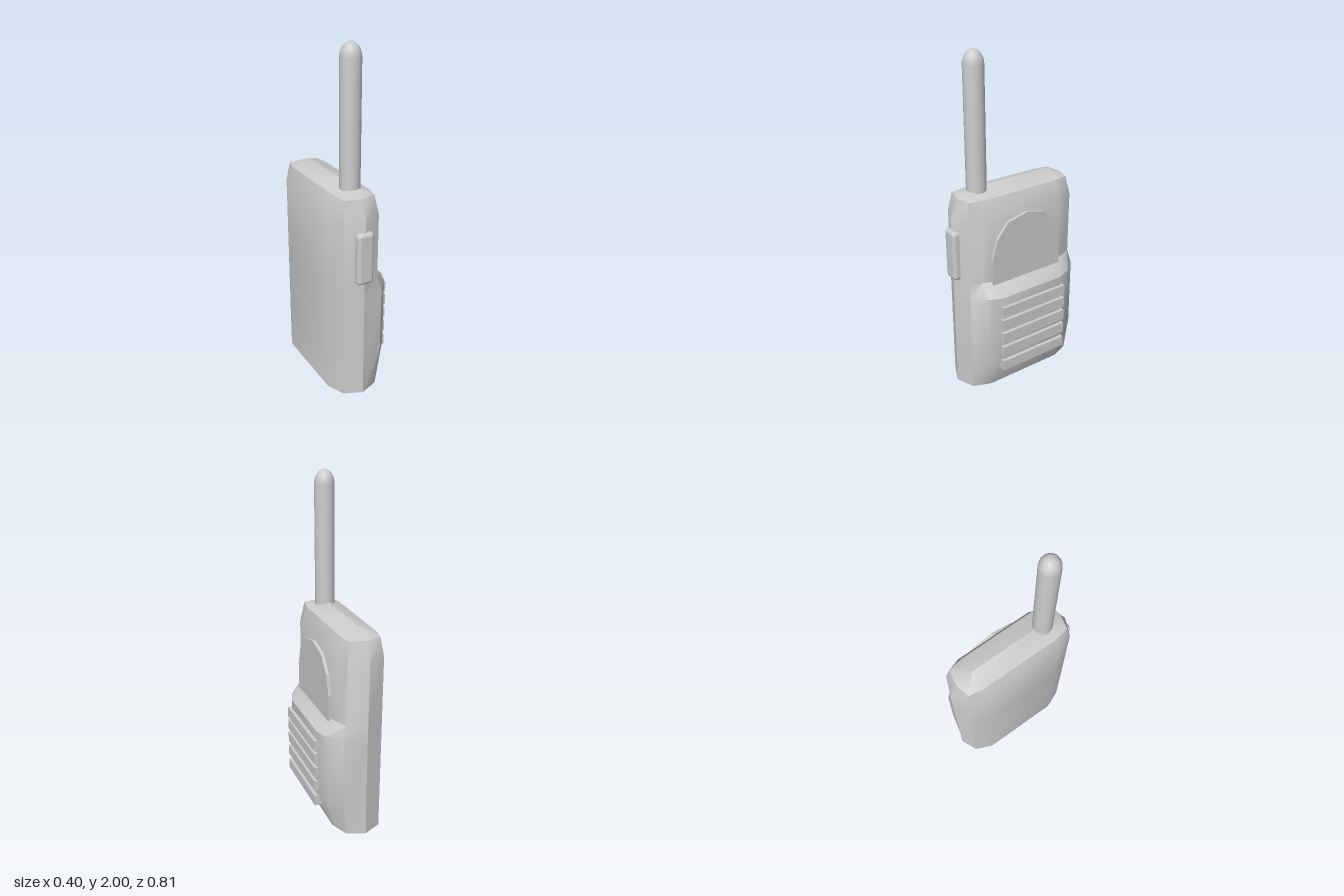
import * as THREE from 'three';
import { toCreasedNormals } from 'three/addons/utils/BufferGeometryUtils.js';
import { RoundedBoxGeometry } from 'three/addons/geometries/RoundedBoxGeometry.js';

const material = new THREE.MeshStandardMaterial({ color: 0xcccccc });
const MID_X = -0.05; // middle of the body and antenna
const MID_Z = -0.01;

function add(group, name, geometry, x = 0, y = 0, z = 0) {
  const mesh = new THREE.Mesh(geometry, material);
  mesh.name = name;
  mesh.position.set(x, y, z);
  group.add(mesh);
}

// Half outline as [x, half width], from the flat back to the speaker side.
const PLAIN = [[-0.2, 0.243], [-0.155, 0.35], [MID_X, 0.395], [0.058, 0.35], [0.085, 0.285], [0.1, 0.243]];
const BULGE = [[-0.2, 0.243], [-0.155, 0.35], [MID_X, 0.393], [0.08, 0.363], [0.15, 0.28], [0.18, 0.2]];
const SHOULDER = [[-0.155, 0.243], [-0.14, 0.33], [MID_X, 0.35], [0.04, 0.33], [0.048, 0.285], [0.055, 0.243]];
const RIDGE = PLAIN.map(() => [MID_X, 0.243]);

// Mirror a half outline into a closed ring at height y.
function ring(y, half) {
  const point = (side) => ([x, w]) => new THREE.Vector3(x, y, MID_Z + side * w);
  return [...half.map(point(-1)), ...half.map(point(1)).reverse()];
}

// Skin the rings from bottom to top, skipping collapsed triangles.
function loft(rings) {
  const positions = [];
  const triangle = (a, b, c) => {
    if (new THREE.Triangle(a, b, c).getArea() < 1e-7) return;
    for (const p of [a, b, c]) positions.push(p.x, p.y, p.z);
  };
  for (let r = 0; r < rings.length - 1; r++) {
    const low = rings[r], high = rings[r + 1], n = low.length;
    for (let i = 0; i < n; i++) {
      const j = (i + 1) % n;
      triangle(low[j], low[i], high[i]);
      triangle(low[j], high[i], high[j]);
    }
  }
  const geometry = new THREE.BufferGeometry();
  geometry.setAttribute('position', new THREE.Float32BufferAttribute(positions, 3));
  return toCreasedNormals(geometry, 0.6);
}

export function createModel() {
  const group = new THREE.Group();
  group.name = 'handheldRadio';

  // Body with a bulging lower front and a ridged top
  add(group, 'body', loft([
    ring(0, RIDGE), ring(0, PLAIN), ring(0.22, BULGE), ring(0.64, BULGE),
    ring(0.72, PLAIN), ring(1.1, PLAIN), ring(1.21, SHOULDER), ring(1.25, RIDGE),
  ]));

  // Antenna with a rounded tip
  const profile = [new THREE.Vector2(0.057, 0)];
  for (let i = 0; i <= 8; i++) {
    const a = (i / 8) * Math.PI / 2;
    profile.push(new THREE.Vector2(0.057 * Math.cos(a), 0.72 + 0.08 * Math.sin(a)));
  }
  add(group, 'antenna', toCreasedNormals(new THREE.LatheGeometry(profile, 24), 0.6), MID_X, 1.2, 0.215);

  // Arched plate above the speaker
  const outline = [[-0.234, 0.66], [0.234, 0.66], [0.234, 0.86], [0.2, 0.98], [0.125, 1.07],
    [0, 1.1], [-0.125, 1.07], [-0.2, 0.98], [-0.234, 0.86]];
  const arch = new THREE.Shape(outline.map(([z, y]) => new THREE.Vector2(z, y)));
  const plate = new THREE.ExtrudeGeometry(arch, { depth: 0.04, bevelEnabled: false });
  plate.rotateY(Math.PI / 2);
  add(group, 'archedPlate', plate, 0.078, 0, MID_Z);

  // Speaker bars
  for (const y of [0.183, 0.283, 0.378, 0.468, 0.553]) {
    add(group, 'speakerBar', new THREE.BoxGeometry(0.06, 0.065, 0.44), 0.17, y, MID_Z);
  }

  // Talk button on the edge below the antenna
  add(group, 'talkButton', new RoundedBoxGeometry(0.1, 0.305, 0.08, 3, 0.022), MID_X, 0.88, 0.362);

  return group;
}
